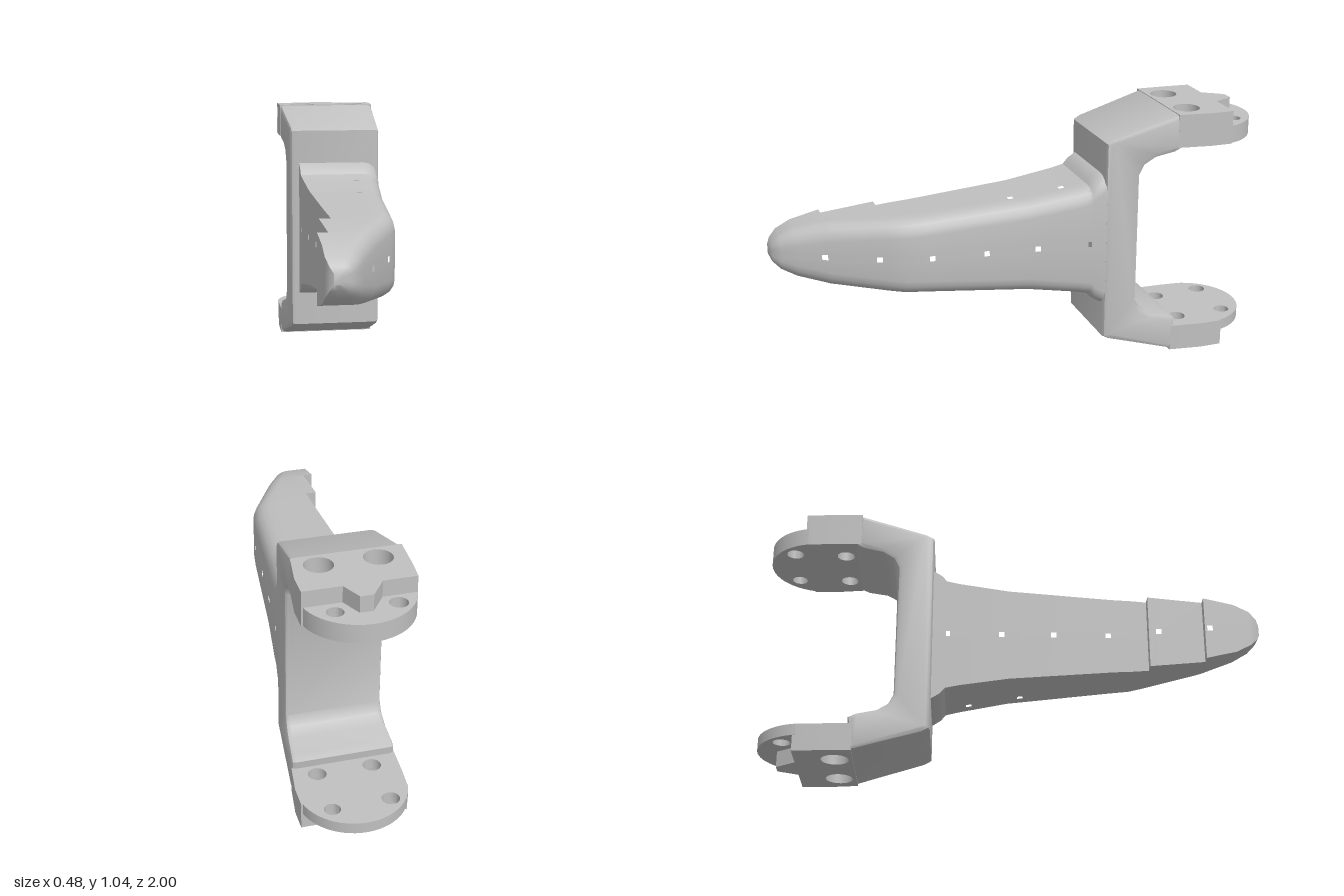
import * as THREE from 'three';
import { toCreasedNormals } from 'three/addons/utils/BufferGeometryUtils.js';

const H = 1.043, MID = H / 2;
const lerp = THREE.MathUtils.lerp;

// Piecewise-linear lookup in rows [z, a, b, ...] sorted by falling z
function sample(rows, z, col) {
  for (let i = 0; i < rows.length - 1; i++) {
    const a = rows[i], b = rows[i + 1];
    if (z <= a[0] && z >= b[0]) return lerp(a[col], b[col], (a[0] - z) / (a[0] - b[0]));
  }
  return z > rows[0][0] ? rows[0][col] : rows[rows.length - 1][col];
}

// Arm: z, right edge, half height
const ARM = [
  [1, -0.18, 0.02], [0.99, -0.15, 0.042], [0.96, -0.122, 0.073], [0.9, -0.09, 0.104],
  [0.78, -0.03, 0.132], [0.56, 0.075, 0.153], [0.5, 0.1, 0.158], [0.42, 0.112, 0.162],
  [0, 0.155, 0.195], [-0.2, 0.18, 0.226], [-0.255, 0.185, 0.238], [-0.275, 0.187, 0.262],
  [-0.31, 0.19, 0.284], [-0.36, 0.19, 0.284],
];
const SIDE_HOLES = [0.8, 0.6, 0.4, 0.18, -0.03, -0.25], TOP_HOLES = [0.05, -0.16];
const R = 0.011;

function armGeometry() {
  // Ring positions, with doubled rings where the left face steps inward
  const rings = [];
  const leftAt = z => (z > 0.78 ? -0.24 : z > 0.56 ? -0.2 : -0.155);
  for (const [z] of ARM) {
    let left = leftAt(z + 1e-6);
    if (z > 0.985) left = z > 0.995 ? -0.215 : -0.228;
    rings.push([z, left]);
    if (z === 0.78 || z === 0.56) rings.push([z, leftAt(z)]);
  }
  for (const z of [...SIDE_HOLES, ...TOP_HOLES])
    for (const e of [z + R, z - R]) rings.push([e, leftAt(e)]);
  rings.sort((a, b) => b[0] - a[0] || a[1] - b[1]);

  const N = 4;
  const section = ([z, xl]) => {
    const xr = sample(ARM, z, 1), h = sample(ARM, z, 2);
    const r = Math.min(0.065, h * 0.6, (xr - xl) * 0.4);
    const room = xr - r - xl, w = Math.min(R, room * 0.2);
    const hx = xl + Math.min(0.051 - 0.12 * z - xl, room - w * 1.5);
    const cx = Math.max(hx, xl + room * 0.4);
    const k = Math.min(R, h * 0.3), p = [];
    p.push([xl, -h], [cx - w, -h], [cx + w, -h]);
    for (let i = 0; i <= N; i++) {
      const a = -Math.PI / 2 * (1 - i / N);
      p.push([xr - r + r * Math.cos(a), -h + r + r * Math.sin(a)]);
    }
    p.push([xr, -k], [xr, k]);
    for (let i = 0; i <= N; i++) {
      const a = Math.PI / 2 * i / N;
      p.push([xr - r + r * Math.cos(a), h - r + r * Math.sin(a)]);
    }
    p.push([cx + w, h], [cx - w, h], [xl, h], [xl, k], [xl, -k]);
    return p.map(([x, y]) => new THREE.Vector3(x, y + MID, z));
  };
  const S = rings.map(section), n = S[0].length, out = [];
  const quad = (a, b, c, d) => [a, b, c, a, c, d].forEach(v => out.push(v.x, v.y, v.z));
  const near = (list, z) => list.some(c => Math.abs(c - z) < R * 0.5);
  const sideCells = [4 + N, n - 2], topCells = [1, 7 + 2 * N];
  for (let i = 0; i < S.length - 1; i++) {
    const A = S[i], B = S[i + 1], zm = (rings[i][0] + rings[i + 1][0]) / 2;
    const cells = near(SIDE_HOLES, zm) ? sideCells : near(TOP_HOLES, zm) ? topCells : [];
    for (let j = 0; j < n; j++) {
      const k = (j + 1) % n;
      if (!cells.includes(j)) quad(A[j], B[j], B[k], A[k]);
    }
    // Lining of each drilled hole
    if (cells.length) {
      const [p, q] = cells;
      const f = [A[p], B[p], B[p + 1], A[p + 1]], g = [A[q + 1], B[q + 1], B[q], A[q]];
      for (let e = 0; e < 4; e++) {
        const m = (e + 1) % 4;
        quad(f[m], f[e], g[e], g[m]);
      }
    }
  }
  // End caps
  const first = S[0], last = S[S.length - 1];
  for (let j = 1; j < n - 1; j++) {
    [first[0], first[j], first[j + 1]].forEach(v => out.push(v.x, v.y, v.z));
    [last[0], last[j + 1], last[j]].forEach(v => out.push(v.x, v.y, v.z));
  }
  const geo = new THREE.BufferGeometry();
  geo.setAttribute('position', new THREE.Float32BufferAttribute(out, 3));
  return toCreasedNormals(geo, 0.6);
}

// C-shaped bracket, extruded across x and widened toward the back
function bracketGeometry() {
  const upper = [[0.31, 0.945], [0.34, 0.962], [0.62, H], [0.63, 0.9], [0.6, 0.885],
    [0.52, 0.868], [0.475, 0.84], [0.455, 0.8]];
  const lower = upper.map(([u, y]) => [u, H - y]).reverse();
  const shape = new THREE.Shape([...upper, ...lower].map(p => new THREE.Vector2(...p)));
  const b = 0.018;
  const geo = new THREE.ExtrudeGeometry(shape, {
    depth: 1 - 2 * b / 0.39, bevelEnabled: true, bevelThickness: b / 0.39,
    bevelSize: b, bevelOffset: -b, bevelSegments: 2,
  });
  geo.translate(0, 0, b / 0.39).rotateY(Math.PI / 2);
  const edges = [[-0.3, -0.19, 0.195], [-0.45, -0.195, 0.2], [-0.64, -0.2, 0.22]];
  const pos = geo.attributes.position;
  for (let i = 0; i < pos.count; i++) {
    const z = pos.getZ(i);
    pos.setX(i, lerp(sample(edges, z, 1), sample(edges, z, 2), pos.getX(i)));
  }
  return toCreasedNormals(geo, 0.6);
}

// Horizontal slab from a plan outline in (x, -z)
function slab(shape, holes, y0, y1) {
  for (const [x, v, r] of holes) shape.holes.push(new THREE.Path().absarc(x, v, r, 0, Math.PI * 2, true));
  const geo = new THREE.ExtrudeGeometry(shape, { depth: y1 - y0, bevelEnabled: false, curveSegments: 12 });
  geo.rotateX(-Math.PI / 2).translate(0, y0, 0);
  return toCreasedNormals(geo, 0.6);
}
const poly = pts => new THREE.Shape(pts.map(p => new THREE.Vector2(...p)));

export function createModel() {
  const model = new THREE.Group();
  const grey = new THREE.MeshStandardMaterial({ color: 0xc0c0c0 });
  grey.name = 'grey';
  const add = (name, geo, parent = model) => {
    const mesh = new THREE.Mesh(geo, grey);
    mesh.name = name;
    parent.add(mesh);
  };

  add('arm', armGeometry());
  add('bracket', bracketGeometry());

  // Mounting flanges with counterbored front holes and a thin rounded rear
  for (const top of [true, false]) {
    const flange = new THREE.Group();
    flange.name = top ? 'upperFlange' : 'lowerFlange';
    model.add(flange);
    const inner = top ? 0.905 : 0.932;
    const part = (name, shape, holes, a, b) =>
      add(name, slab(shape, holes, top ? a : H - b, top ? b : H - a), flange);
    const block = () => poly([[-0.2, 0.61], [0.216, 0.61], [0.236, 0.75], [0.236, 0.84], [-0.185, 0.84], [-0.193, 0.75]]);
    part('seat', block(), [[-0.09, 0.68, 0.036], [0.13, 0.68, 0.036]], inner, 0.975);
    part('counterbore', block(), [[-0.09, 0.68, 0.055], [0.13, 0.68, 0.055]], 0.975, H);
    const round = new THREE.Shape().absarc(0.022, 0.786, 0.214, 0.207, Math.PI - 0.207, false);
    part('roundedEnd', round, [[-0.1, 0.89, 0.035], [0.13, 0.895, 0.032]], inner, 0.978);
    part('rib', poly([[-0.06, 0.835], [0.09, 0.835], [0.05, 0.92], [0, 0.92]]), [], 0.97, H);
  }
  return model;
}
